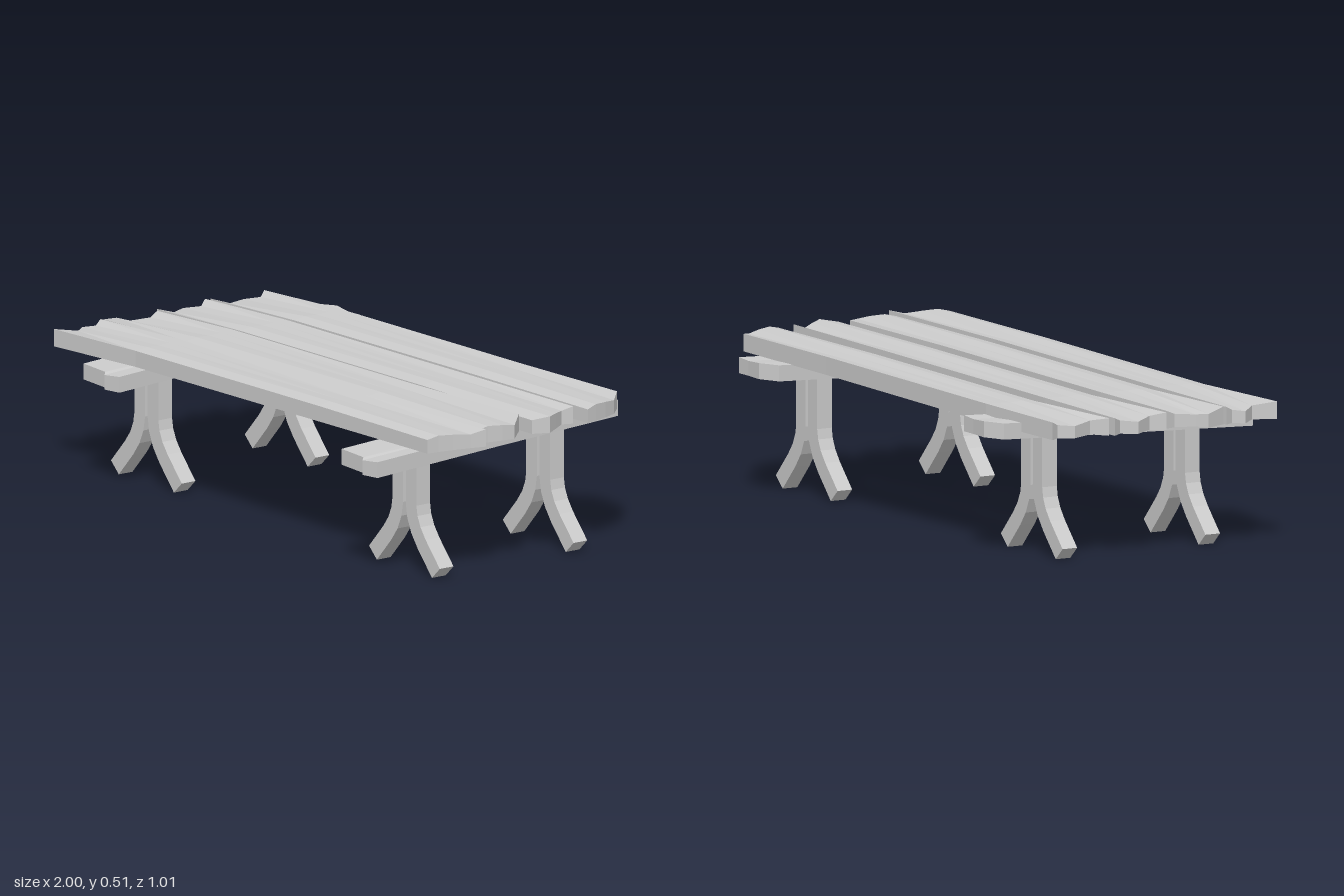
import * as THREE from 'three';

const material = new THREE.MeshStandardMaterial({ color: 0xcccccc, flatShading: true, side: THREE.DoubleSide });

// Closed slab from rows of [x, z] points; bottom(x, z) and top(x, z, row, column) give the heights.
function slab(name, rows, bottom, top) {
  const pos = [];
  const lo = rows.map(r => r.map(([x, z]) => [x, bottom(x, z), z]));
  const hi = rows.map((r, i) => r.map(([x, z], j) => [x, top(x, z, i, j), z]));
  const quad = (a, b, c, d) => [a, b, c, a, c, d].forEach(p => pos.push(...p));
  const n = rows.length - 1, m = rows[0].length - 1;
  for (let i = 0; i < n; i++) {
    for (let j = 0; j < m; j++) {
      quad(hi[i][j], hi[i][j + 1], hi[i + 1][j + 1], hi[i + 1][j]);
      quad(lo[i][j], lo[i + 1][j], lo[i + 1][j + 1], lo[i][j + 1]);
    }
    quad(lo[i][0], hi[i][0], hi[i + 1][0], lo[i + 1][0]);
    quad(lo[i][m], lo[i + 1][m], hi[i + 1][m], hi[i][m]);
  }
  for (let j = 0; j < m; j++) {
    quad(lo[0][j], lo[0][j + 1], hi[0][j + 1], hi[0][j]);
    quad(lo[n][j], hi[n][j], hi[n][j + 1], lo[n][j + 1]);
  }
  const geo = new THREE.BufferGeometry();
  geo.setAttribute('position', new THREE.Float32BufferAttribute(pos, 3));
  geo.computeVertexNormals();
  const mesh = new THREE.Mesh(geo, material);
  mesh.name = name;
  return mesh;
}

// Ragged plank ends, listed from back to front, and the straight edges between them
const planks = [
  { back: -0.42, front: -0.235,
    left: [[-0.95, -0.4], [-0.93, -0.37], [-0.955, -0.32], [-0.92, -0.24], [-0.97, -0.2]],
    right: [[0.86, -0.43], [0.91, -0.38], [0.93, -0.33], [0.945, -0.28], [0.955, -0.24]] },
  { back: -0.2, front: -0.018,
    left: [[-0.98, -0.185], [-0.955, -0.15], [-0.985, -0.1], [-0.94, -0.03], [-0.97, 0.015]],
    right: [[0.93, -0.2], [0.915, -0.165], [0.95, -0.115], [0.98, -0.07], [0.955, -0.015]] },
  { back: 0.01, front: 0.203,
    left: [[-0.95, 0.03], [-0.94, 0.065], [-0.96, 0.13], [-1, 0.155], [-0.97, 0.23]],
    right: [[0.9, -0.005], [0.97, 0.065], [0.965, 0.11], [0.955, 0.16], [0.95, 0.2]] },
  { back: 0.217, front: 0.4,
    left: [[-0.98, 0.235], [-0.965, 0.265], [-0.99, 0.3], [-0.94, 0.355], [-0.97, 0.43]],
    right: [[0.995, 0.2], [0.98, 0.25], [0.965, 0.31], [0.955, 0.36], [0.95, 0.4]] },
];
// Warp of each plank's upper side, by station and column
const warp = [
  [0, -0.014, -0.018, -0.012, 0],
  [0.004, 0.002, 0, 0.002, -0.004],
  [0.002, -0.004, -0.002, 0.002, -0.006],
  [0, -0.012, -0.006, -0.003, -0.012],
];
const plankBottom = x => 0.437 + 0.021 * x;

// Curved leg: an even-width strip along a path, bending toward side
function leg(side, x, z) {
  const w = 0.028, depth = 0.055;
  const path = [[0.035, 0.4], [0.035, 0.225], [0.042, 0.185], [0.06, 0.145], [0.09, 0.105], [0.165, 0.024]]
    .map(p => new THREE.Vector2(...p));
  const edge = s => path.map((p, i) => {
    const a = path[Math.max(i - 1, 0)], b = path[Math.min(i + 1, path.length - 1)];
    const d = b.clone().sub(a).normalize();
    return new THREE.Vector2(side * (p.x + s * w * d.y), p.y - s * w * d.x);
  });
  const outline = [...edge(1), ...edge(-1).reverse()];
  const geo = new THREE.ExtrudeGeometry(new THREE.Shape(outline), { depth, bevelEnabled: false });
  const mesh = new THREE.Mesh(geo, material);
  mesh.name = side < 0 ? 'rightCurvedLeg' : 'leftCurvedLeg';
  mesh.position.set(x, 0, z - depth / 2);
  return mesh;
}

export function createModel() {
  const group = new THREE.Group();
  group.name = 'bench';

  // Seat planks
  planks.forEach((p, k) => {
    const station = x => [0, 0.25, 0.5, 0.75, 1].map(t => [x, p.back + (p.front - p.back) * t]);
    group.add(slab('seatPlank' + (k + 1), [p.left, station(-0.58), station(0.38), p.right],
      plankBottom, (x, z, i, j) => plankBottom(x) + 0.057 + warp[i][j]));
  });

  // Cross beams, sloping down toward the front, each on two pairs of legs
  const beamBottom = (x, z) => 0.381 - 0.043 * z;
  for (const [name, dx] of [['right', -0.668], ['left', 0.685]]) {
    const rows = [
      [[0.09, -0.5], [0.03, -0.502], [-0.045, -0.51], [-0.11, -0.475]],
      [[0.1, 0], [0.04, 0], [-0.03, 0], [-0.1, 0]],
      [[0.118, 0.488], [0.055, 0.5], [0.04, 0.485], [-0.085, 0.477]],
    ].map(r => r.map(([x, z]) => [x + dx, z]));
    group.add(slab(name + 'CrossBeam', rows, beamBottom,
      (x, z, i, j) => beamBottom(x, z) + 0.052 - (j === 1 ? 0.004 : 0)));
    for (const [end, z] of [['Front', 0.262], ['Back', -0.275]]) {
      const legs = new THREE.Group();
      legs.name = name + end + 'Legs';
      legs.add(leg(-1, dx, z), leg(1, dx, z));
      group.add(legs);
    }
  }
  return group;
}
